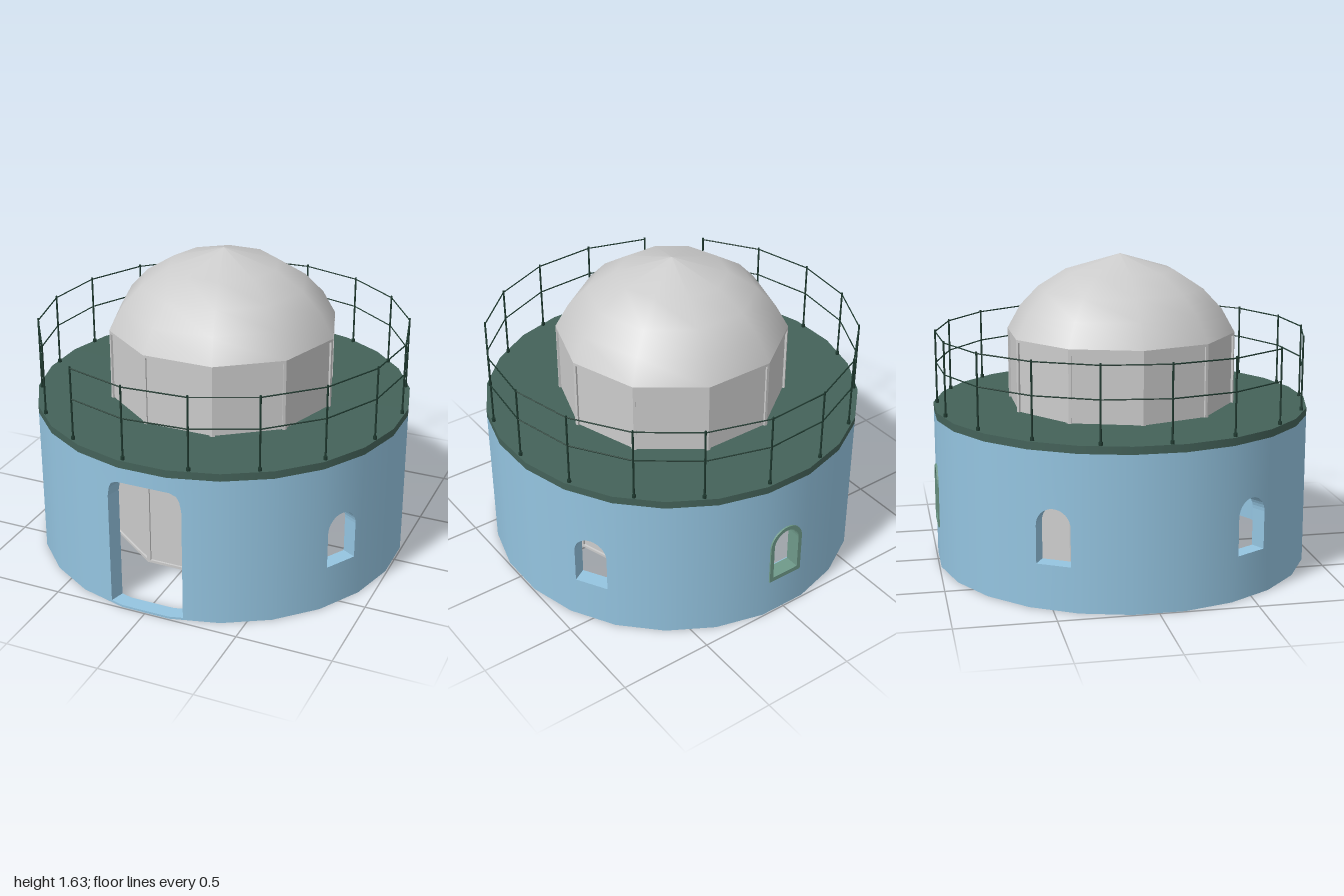
import * as THREE from 'three';
import { mergeGeometries } from 'three/addons/utils/BufferGeometryUtils.js';

const material = (color, extra = {}) => new THREE.MeshStandardMaterial({ color, ...extra });
const blue = material(0x94c4e0);
const green = material(0x446259);
const paleGreen = material(0x6f9a8a);
const railGreen = material(0x1f3a30);
const grey = material(0xcccccc);
const greyFlat = material(0xcccccc, { flatShading: true });

const DEG = Math.PI / 180;
const APOTHEM = Math.cos(7.5 * DEG), HALF = Math.sin(7.5 * DEG);
const THICK = 0.08, WALL_TOP = 0.8, DECK_TOP = 0.84;

function addMesh(parent, name, geometry, mat) {
  const mesh = new THREE.Mesh(geometry, mat);
  mesh.name = name;
  parent.add(mesh);
  return mesh;
}

const polygon = (points) => new THREE.Shape(points.map(([x, y]) => new THREE.Vector2(x, y)));
const rectangle = (w, y0, y1) => polygon([[-w, y0], [w, y0], [w, y1], [-w, y1]]);

// Upright opening with a round head
function arch(w, y0, y1) {
  const shape = new THREE.Shape();
  shape.moveTo(-w, y0);
  shape.lineTo(w, y0);
  shape.lineTo(w, y1 - w);
  shape.absarc(0, y1 - w, w, 0, Math.PI, false);
  shape.closePath();
  return shape;
}

const extrude = (shape, depth) =>
  new THREE.ExtrudeGeometry(shape, { depth, bevelEnabled: false, curveSegments: 8 });

// One of the 24 wall facets: mitred at its ends, with round normals on its faces
function wallFacet(shapes, angle) {
  const geometry = extrude(shapes, THICK);
  geometry.translate(0, 0, APOTHEM - THICK);
  const p = geometry.attributes.position, n = geometry.attributes.normal;
  for (let i = 0; i < p.count; i++) {
    const z = p.getZ(i);
    if (z < APOTHEM - 0.01 && Math.abs(p.getX(i)) > HALF - 1e-4) {
      p.setX(i, p.getX(i) * (APOTHEM - THICK) / APOTHEM);
    }
    if (Math.abs(n.getZ(i)) > 0.9) {
      const s = Math.sign(n.getZ(i)) / Math.hypot(p.getX(i), z);
      n.setXYZ(i, p.getX(i) * s, 0, z * s);
    }
  }
  return geometry.rotateY(angle);
}

function buildWall() {
  // Door edge on the facet beside the doorway
  const doorSide = [[-HALF, 0], [HALF, 0], [HALF, WALL_TOP], [-HALF, WALL_TOP], [-HALF, 0.72],
    [-0.118, 0.718], [-0.083, 0.7], [-0.068, 0.67], [-0.0586, 0.62], [-0.0586, 0.012], [-HALF, 0.012]];
  const windows = [4, 8, 12, 16, 20];
  const facets = [];
  for (let k = 0; k < 24; k++) {
    let shapes = [rectangle(HALF, 0, WALL_TOP)];
    if (k === 0) shapes = [rectangle(HALF, 0, 0.012), rectangle(HALF, 0.72, WALL_TOP)];
    if (k === 1) shapes = [polygon(doorSide)];
    if (k === 23) shapes = [polygon(doorSide.map(([x, y]) => [-x, y]))];
    if (windows.includes(k)) shapes[0].holes.push(arch(0.09, 0.23, 0.515));
    facets.push(wallFacet(shapes, k * 15 * DEG));
  }
  return mergeGeometries(facets);
}

// Ten-sided drum with a raised border round every panel
function buildDrum(parent) {
  const radius = 0.61, apothem = radius * Math.cos(18 * DEG), half = radius * Math.sin(18 * DEG);
  const y0 = 0.02, y1 = 1.22, border = 0.014, depth = 0.012;
  const drum = new THREE.Group();
  drum.name = 'drum';
  parent.add(drum);

  const core = new THREE.CylinderGeometry(radius - depth, radius - depth, y1 - y0 - 0.002, 10, 1, false, 18 * DEG);
  core.translate(0, (y0 + y1) / 2, 0);
  addMesh(drum, 'drumPanels', core, greyFlat);

  const frames = [];
  for (let k = 0; k < 10; k++) {
    const shape = rectangle(half, y0, y1);
    shape.holes.push(rectangle(half - border, y0 + border, y1 - border));
    const frame = extrude(shape, depth);
    frame.translate(0, 0, apothem - depth);
    frames.push(frame.rotateY(k * 36 * DEG));
  }
  addMesh(drum, 'drumFrames', mergeGeometries(frames), greyFlat);

  // Dome rising from the drum
  const profile = [[radius, 1.22], [0.54, 1.345], [0.44, 1.45], [0.29, 1.545], [0, 1.63]];
  const dome = new THREE.LatheGeometry(profile.map(([x, y]) => new THREE.Vector2(x, y)), 10, 18 * DEG);
  addMesh(drum, 'dome', dome, grey);
}

// Straight thin bar between two points
function bar(a, b, radius) {
  const geometry = new THREE.CylinderGeometry(radius, radius, a.distanceTo(b), 6);
  const turn = new THREE.Quaternion().setFromUnitVectors(
    new THREE.Vector3(0, 1, 0), b.clone().sub(a).normalize());
  geometry.applyQuaternion(turn);
  const mid = a.clone().add(b).multiplyScalar(0.5);
  return geometry.translate(mid.x, mid.y, mid.z);
}

// Eighteen posts with two rails, open for one bay
function buildRailing(parent) {
  const at = (k, y) => {
    const a = (-26.4 + 20 * k) * DEG;
    return new THREE.Vector3(0.98 * Math.sin(a), y, 0.98 * Math.cos(a));
  };
  const posts = [], rails = [];
  for (let k = 0; k < 18; k++) {
    posts.push(bar(at(k, DECK_TOP), at(k, 1.235), 0.005));
    posts.push(bar(at(k, DECK_TOP), at(k, DECK_TOP + 0.018), 0.01));
    if (k < 17) {
      for (const y of [1.06, 1.225]) rails.push(bar(at(k, y), at(k + 1, y), 0.0035));
    }
  }
  const railing = new THREE.Group();
  railing.name = 'railing';
  addMesh(railing, 'railingPosts', mergeGeometries(posts), railGreen);
  addMesh(railing, 'railingRails', mergeGeometries(rails), railGreen);
  parent.add(railing);
}

export function createModel() {
  const model = new THREE.Group();
  model.name = 'domedRoundBuilding';

  addMesh(model, 'outerWall', buildWall(), blue);

  // Terrace slab
  const deck = new THREE.CylinderGeometry(1, 1, DECK_TOP - WALL_TOP, 24, 1, false, 7.5 * DEG);
  deck.translate(0, (DECK_TOP + WALL_TOP) / 2, 0);
  addMesh(model, 'terraceDeck', deck, green);

  buildDrum(model);
  buildRailing(model);

  // Frame of the rear window
  const frame = arch(0.1, 0.21, 0.53);
  frame.holes.push(arch(0.078, 0.235, 0.508));
  const frameGeometry = extrude(frame, 0.08);
  frameGeometry.translate(0, 0, -1);
  addMesh(model, 'rearWindowFrame', frameGeometry, paleGreen);

  return model;
}
